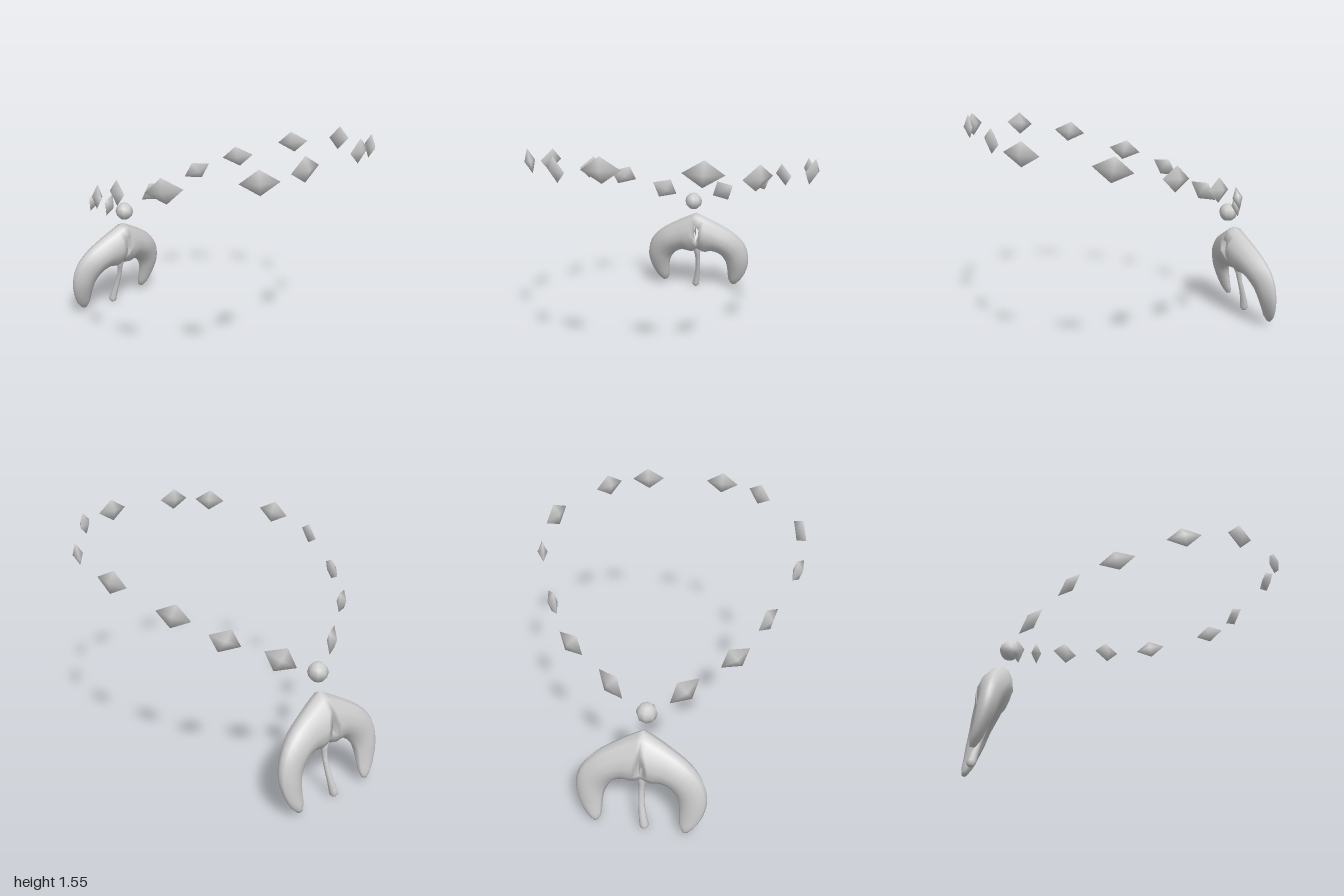
import * as THREE from 'three';
import { mergeVertices } from 'three/addons/utils/BufferGeometryUtils.js';

const V = (x, y, z) => new THREE.Vector3(x, y, z);
const silver = new THREE.MeshStandardMaterial({ color: 0xcccccc });
silver.name = 'silver';

// Corners of each diamond bead on one side: two ends, top, bottom
const BEADS = [
  [[.135, .845, -.75], [.293, .96, -.638], [.18, .972, -.724], [.265, .842, -.697]],
  [[.41, .995, -.57], [.567, 1.08, -.47], [.45, 1.11, -.547], [.535, .987, -.525]],
  [[.6, 1.138, -.373], [.705, 1.175, -.175], [.656, 1.238, -.295], [.688, 1.093, -.273]],
  [[.778, 1.282, -.005], [.847, 1.315, .198], [.82, 1.375, .08], [.842, 1.232, .102]],
  [[.862, 1.362, .362], [.777, 1.403, .565], [.845, 1.467, .466], [.815, 1.319, .477]],
  [[.607, 1.445, .785], [.457, 1.457, .938], [.553, 1.522, .875], [.535, 1.378, .875]],
  [[.377, 1.475, .935], [.155, 1.485, .955], [.272, 1.558, .965], [.262, 1.412, .965]],
];

// Smooth-shaded octahedron stretched between its four corners
function beadGeometry(corners, side) {
  const [a, b, top, low] = corners.map(p => V(p[0] * side, p[1], p[2]));
  const centre = a.clone().add(b).add(top).add(low).multiplyScalar(0.25);
  const along = b.sub(a).multiplyScalar(0.5);
  const up = top.sub(low).multiplyScalar(0.5);
  const depth = along.clone().cross(up).normalize().multiplyScalar(0.032);
  let g = new THREE.OctahedronGeometry(1, 0);
  g.deleteAttribute('normal');
  g.deleteAttribute('uv');
  g = mergeVertices(g);
  g.applyMatrix4(new THREE.Matrix4().makeBasis(along, up, depth).setPosition(centre));
  g.computeVertexNormals();
  return g;
}

// Two mirrored curved lobes lofted from rounded diamond sections, open at a small central hole
function pendantGeometry() {
  const outer = new THREE.CatmullRomCurve3([
    V(0, .68, -.83), V(.08, .64, -.845), V(.17, .59, -.865), V(.29, .51, -.89), V(.375, .41, -.915),
    V(.405, .29, -.93), V(.39, .18, -.95), V(.345, .085, -.97), V(.3, .035, -.98)]);
  const inner = new THREE.CatmullRomCurve3([
    V(0, .36, -.88), V(.05, .335, -.885), V(.11, .345, -.89), V(.17, .325, -.9), V(.22, .26, -.92),
    V(.235, .2, -.935), V(.24, .13, -.955), V(.245, .08, -.97), V(.26, .045, -.98)]);
  // x = front ridge depth, y = back ridge depth
  const ridge = new THREE.CatmullRomCurve3([
    [-.75, -.97], [-.755, -.97], [-.775, -.965], [-.8, -.97], [-.84, -.975],
    [-.87, -.985], [-.905, -.992], [-.935, -1], [-.965, -.997]].map(p => V(p[0], p[1], 0)));
  const STEPS = 20, SIDES = 12, pos = [], index = [];
  const pinch = (v, e) => Math.sign(v) * Math.abs(v) ** e;
  for (const side of [1, -1]) {
    const base = pos.length / 3;
    for (let j = 0; j <= STEPS + 1; j++) {
      const t = Math.min(j / STEPS, 1);
      const o = outer.getPoint(t), i = inner.getPoint(t), r = ridge.getPoint(t);
      const mid = o.clone().add(i).multiplyScalar(0.5);
      const half = o.sub(i).multiplyScalar(0.5);
      const size = j > STEPS ? 0 : 1;
      for (let k = 0; k < SIDES; k++) {
        const angle = k / SIDES * Math.PI * 2;
        const c = pinch(Math.cos(angle), 1.15) * size, s = pinch(Math.sin(angle), 1.15) * size;
        const p = mid.clone().addScaledVector(half, c);
        p.z += s > 0 ? s * (r.x - mid.z) : s * (mid.z - r.y);
        // The ridges fold inward at the middle to form the hole
        if (j === 0 && (k === 3 || k === 9)) p.set(.024, .515, -.855);
        pos.push(p.x * side, p.y, p.z);
      }
    }
    for (let j = 0; j <= STEPS; j++) for (let k = 0; k < SIDES; k++) {
      const a = base + j * SIDES + k, b = base + j * SIDES + (k + 1) % SIDES;
      const c = a + SIDES, d = b + SIDES;
      if (side > 0) index.push(a, b, c, b, d, c);
      else index.push(a, c, b, b, c, d);
    }
  }
  let g = new THREE.BufferGeometry();
  g.setAttribute('position', new THREE.Float32BufferAttribute(pos, 3));
  g.setIndex(index);
  g = mergeVertices(g);
  g.computeVertexNormals();
  return g;
}

// Tapered stem following a gentle curve, with a rounded bulb at the foot
function stemGeometry() {
  const path = new THREE.CatmullRomCurve3([
    V(0, .43, -.87), V(.008, .34, -.885), V(.012, .25, -.905), V(.004, .13, -.94), V(-.012, .035, -.965)]);
  const profile = [[0, .002], [.017, .005], [.027, .018], [.028, .04], [.024, .09], [.019, .17],
    [.017, .25], [.02, .31], [.034, .37], [.02, .43]].map(p => new THREE.Vector2(p[0], p[1]));
  const g = new THREE.LatheGeometry(profile, 10);
  const p = g.attributes.position;
  for (let n = 0; n < p.count; n++) {
    const c = path.getPoint(THREE.MathUtils.clamp((.43 - p.getY(n)) / .4, 0, 1));
    p.setXYZ(n, p.getX(n) + c.x, p.getY(n), p.getZ(n) + c.z);
  }
  g.computeVertexNormals();
  return g;
}

export function createModel() {
  const model = new THREE.Group();
  model.name = 'necklace';
  const add = (name, geometry, parent = model) => {
    const m = new THREE.Mesh(geometry, silver);
    m.name = name;
    parent.add(m);
    return m;
  };

  // Chain of diamond beads, mirrored left and right
  BEADS.forEach((corners, n) => {
    add(`leftBead${n + 1}`, beadGeometry(corners, 1));
    add(`rightBead${n + 1}`, beadGeometry(corners, -1));
  });

  // Round bead above the pendant
  add('roundBead', new THREE.SphereGeometry(.064, 8, 6)).position.set(-.01, .787, -.788);

  // Pendant, turned very slightly about its own middle
  const pendant = new THREE.Group();
  pendant.name = 'pendant';
  const lobes = add('pendantLobes', pendantGeometry().translate(0, 0, .87), pendant);
  lobes.position.set(.008, 0, -.87);
  lobes.rotation.y = -.035;
  add('pendantStem', stemGeometry(), pendant);
  model.add(pendant);
  return model;
}
